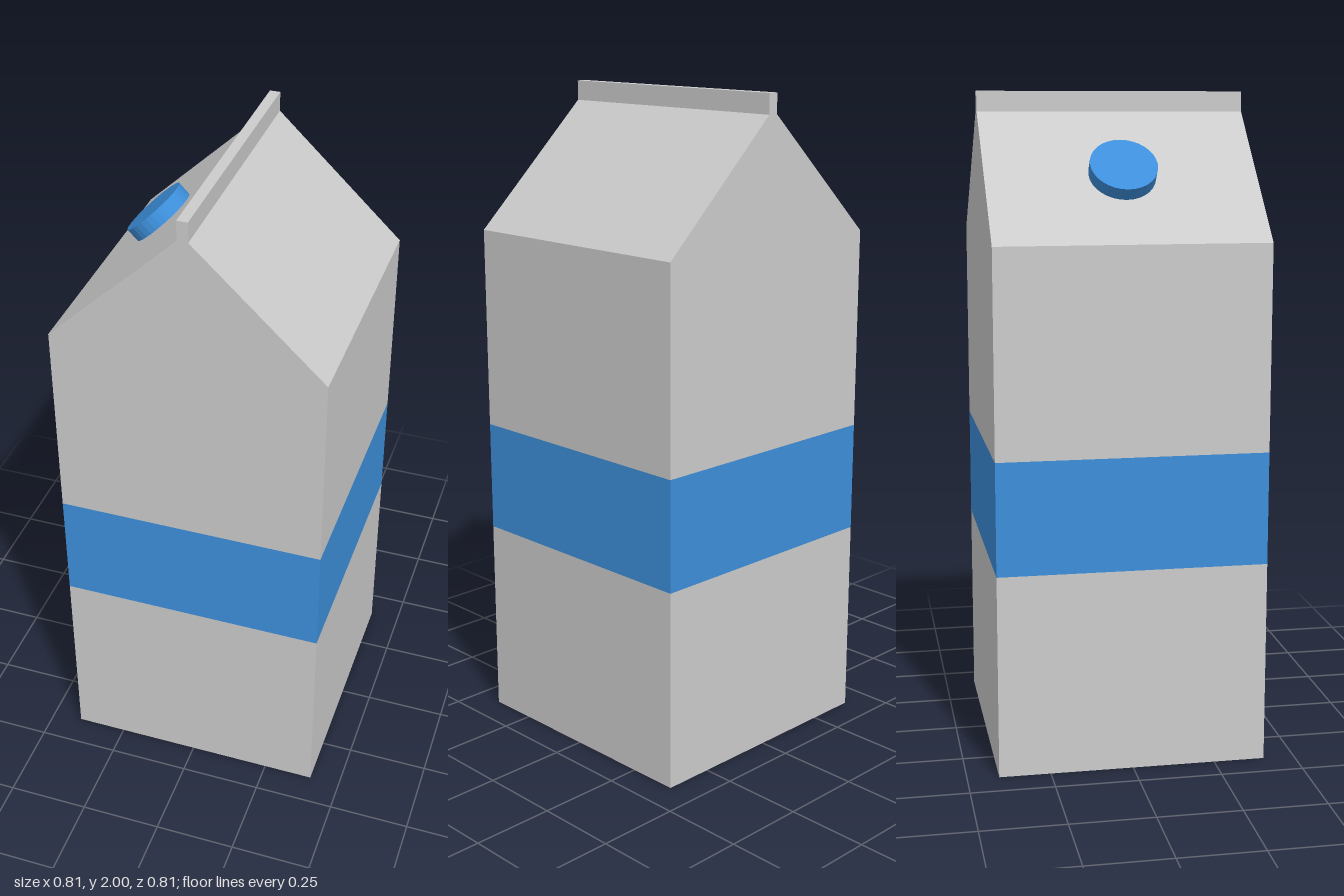
import * as THREE from 'three';

export function createModel() {
  const group = new THREE.Group();
  const grey = new THREE.MeshStandardMaterial({ color: 0xcccccc, flatShading: true });
  const blue = new THREE.MeshStandardMaterial({ color: 0x3d8fdb, flatShading: true });

  const half = 0.405, fin = 0.016;
  const bandBottom = 0.615, bandTop = 0.955, eaves = 1.57, ridge = 1.94, top = 2;

  const add = (name, geometry, material) => {
    const mesh = new THREE.Mesh(geometry, material);
    mesh.name = name;
    group.add(mesh);
    return mesh;
  };
  const block = (name, y0, y1, material) => {
    add(name, new THREE.BoxGeometry(half * 2, y1 - y0, half * 2), material).position.y = (y0 + y1) / 2;
  };

  // Lower carton and the flush coloured band
  block('lowerCarton', 0, bandBottom, grey);
  block('band', bandBottom, bandTop, blue);

  // Upper carton: walls, gable roof and sealed top fin in one profile
  const right = [[half, bandTop], [half, eaves], [fin, ridge], [fin, top]];
  const left = right.map(([x, y]) => [-x, y]).reverse();
  const profile = new THREE.Shape([...right, ...left].map(([x, y]) => new THREE.Vector2(x, y)));
  const upper = new THREE.ExtrudeGeometry(profile, { depth: half * 2, bevelEnabled: false });
  upper.translate(0, 0, -half);
  add('upperCartonWithRoof', upper, grey);

  // Round screw cap standing square on the -x roof slope
  const slope = Math.atan2(ridge - eaves, half - fin);
  const capX = -0.2075, capHeight = 0.043;
  const capGeometry = new THREE.CylinderGeometry(0.1, 0.1, capHeight, 32);
  capGeometry.translate(0, capHeight / 2, 0);
  const cap = add('cap', capGeometry, blue);
  cap.position.set(capX, ridge + (capX + fin) * Math.tan(slope), 0);
  cap.rotation.z = slope;

  return group;
}
